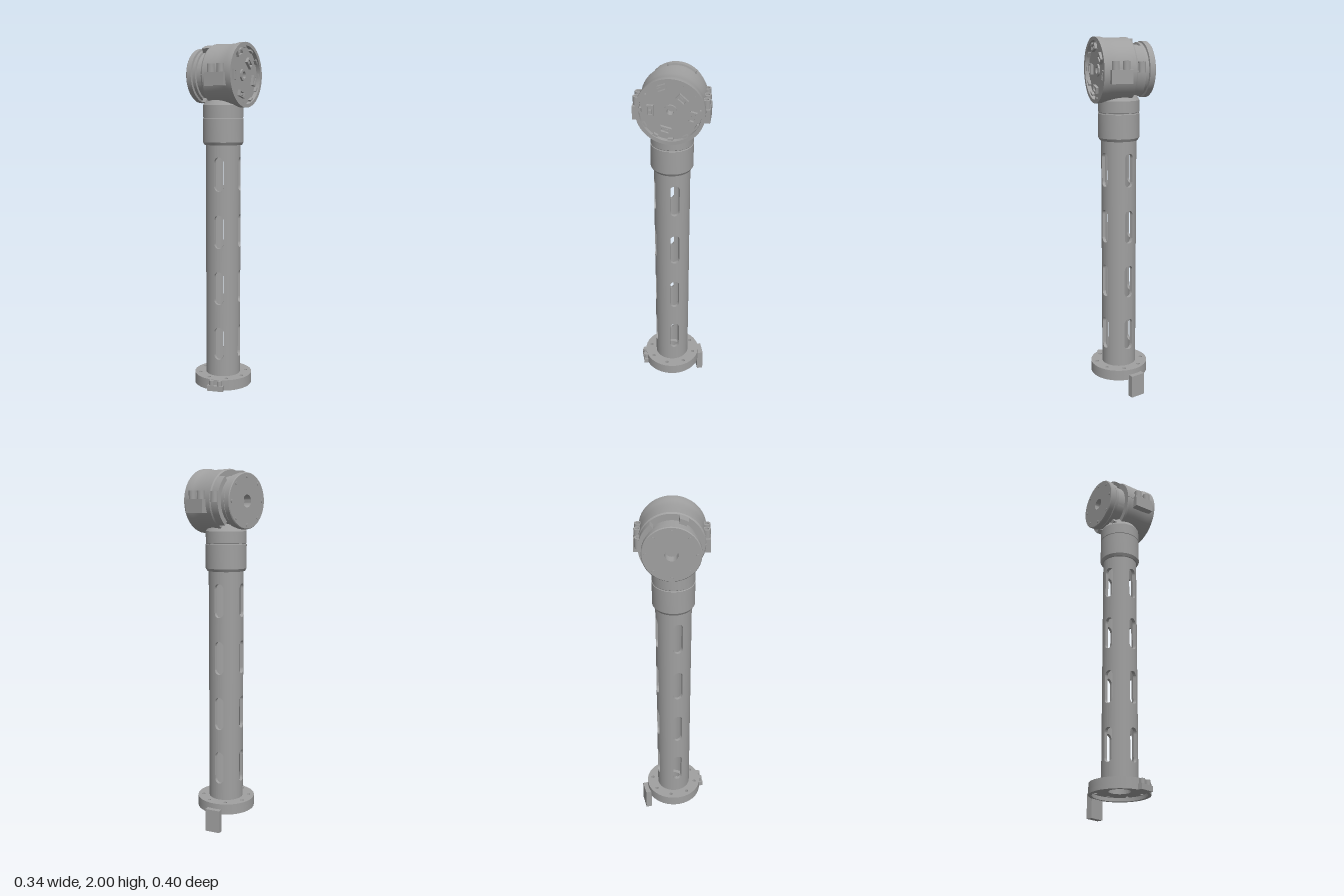
import * as THREE from 'three';
import { toCreasedNormals } from 'three/addons/utils/BufferGeometryUtils.js';

const grey = new THREE.MeshStandardMaterial({ color: 0xa0a0a0 });
grey.name = 'machinedGrey';
const DEG = Math.PI / 180;
const YAW = 8 * DEG;

function add(parent, name, geometry, x = 0, y = 0, z = 0) {
  const mesh = new THREE.Mesh(geometry, grey);
  mesh.name = name;
  mesh.position.set(x, y, z);
  parent.add(mesh);
  return mesh;
}

// turned part: [radius, height] pairs from bottom to top
function turned(profile, segments = 64) {
  const points = profile.map(([r, h]) => new THREE.Vector2(r, h));
  return toCreasedNormals(new THREE.LatheGeometry(points, segments), 0.5);
}

// curved wall from angle a0 to a1 (0 = +z, 90 degrees = +x); low and high depend on the angle
function wall(r0, r1, angles, low, high) {
  const sections = angles.map(a => {
    const at = (r, y) => [r * Math.sin(a), y, r * Math.cos(a)];
    return [at(r1, low(a)), at(r1, high(a)), at(r0, high(a)), at(r0, low(a))];
  });
  const out = [];
  const quad = (a, b, c, d) => out.push(...a, ...b, ...c, ...a, ...c, ...d);
  for (let i = 0; i + 1 < sections.length; i++) {
    const s = sections[i], t = sections[i + 1];
    for (let k = 0; k < 4; k++) quad(s[k], t[k], t[(k + 1) % 4], s[(k + 1) % 4]);
  }
  const [s, e] = [sections[0], sections[sections.length - 1]];
  quad(s[0], s[1], s[2], s[3]);
  quad(e[3], e[2], e[1], e[0]);
  const geometry = new THREE.BufferGeometry();
  geometry.setAttribute('position', new THREE.Float32BufferAttribute(out, 3));
  return toCreasedNormals(geometry, 0.5);
}

const span = (a0, a1, n) => Array.from({ length: n + 1 }, (_, i) => a0 + (a1 - a0) * i / n);

// tube with four columns of rounded slots
function buildTube(parent) {
  const R = 0.096, inner = 0.079, bottom = 0.155, top = 1.48;
  const slotR = 0.0265, straight = 0.066, half = slotR / R;
  const centres = [0.348, 0.665, 0.981, 1.297];
  const arc = a => straight + Math.sqrt(Math.max(0, slotR ** 2 - (a * R) ** 2));
  const columns = Array.from({ length: 17 }, (_, i) => -half * Math.cos(Math.PI * i / 16));
  const solid = wall(inner, R, span(half, Math.PI / 2 - half, 14), () => bottom, () => top);
  const bridges = [];
  for (let i = 0; i <= centres.length; i++) {
    const low = a => i === 0 ? bottom : centres[i - 1] + arc(a);
    const high = a => i === centres.length ? top : centres[i] - arc(a);
    bridges.push(wall(inner, R, columns, low, high));
  }
  for (let q = 0; q < 4; q++) {
    add(parent, 'tubeWall', solid).rotation.y = q * Math.PI / 2;
    for (const b of bridges) add(parent, 'slotBridge', b).rotation.y = q * Math.PI / 2;
  }
}

// round base flange with bolt holes, clamp lugs and a locating key
function buildBase(parent) {
  const plate = new THREE.Shape().absarc(0, 0, 0.161, 0, Math.PI * 2);
  const hole = (x, y, r) => plate.holes.push(new THREE.Path().absarc(x, y, r, 0, Math.PI * 2, true));
  hole(0, 0, 0.058);
  for (let i = 0; i < 8; i++) {
    const a = (i + 0.5) * Math.PI / 4;
    hole(0.13 * Math.cos(a), 0.13 * Math.sin(a), 0.01);
  }
  const geometry = new THREE.ExtrudeGeometry(plate, { depth: 0.04, bevelEnabled: false, curveSegments: 32 });
  geometry.rotateX(-Math.PI / 2);
  add(parent, 'baseFlange', toCreasedNormals(geometry, 0.5), 0, 0.12, 0);
  add(parent, 'baseRim', turned([[0.143, 0.122], [0.143, 0.1], [0.161, 0.1], [0.161, 0.122]]));

  add(parent, 'baseClamp', new THREE.BoxGeometry(0.09, 0.03, 0.03), 0, 0.115, 0.164);
  for (const x of [-0.022, 0.022]) {
    add(parent, 'baseClampLug', new THREE.CylinderGeometry(0.014, 0.014, 0.04, 20), x, 0.138, 0.164);
  }
  add(parent, 'locatingKey', new THREE.BoxGeometry(0.085, 0.13, 0.034), 0, 0.065, -0.17);
}

// joint head: turned body along local x, sleeve fingers, clamps and end fittings
function buildHead(parent) {
  const body = turned([
    [0, -0.1], [0.033, -0.1], [0.033, -0.146], [0.143, -0.146], [0.147, -0.142], [0.147, -0.114],
    [0.135, -0.112], [0.135, -0.108], [0.141, -0.106], [0.141, -0.09], [0.13, -0.088], [0.13, -0.04],
    [0.163, -0.04], [0.168, -0.03], [0.166, 0.02], [0.165, 0.06], [0.167, 0.1], [0.172, 0.118],
    [0.172, 0.146], [0.153, 0.146], [0.153, 0.122], [0.032, 0.122], [0.032, 0.132], [0.018, 0.132],
    [0.018, 0.09], [0, 0.09]], 80);
  body.rotateZ(-Math.PI / 2);
  add(parent, 'headBody', body);

  // sleeve fingers, angles measured from the top towards the front
  for (const [a0, a1] of [[-140, -40], [14, 30], [150, 166]]) {
    const n = Math.ceil((a1 - a0) / 5);
    const finger = wall(0.138, 0.164, span((a0 - 90) * DEG, (a1 - 90) * DEG, n), () => -0.084, () => -0.035);
    finger.rotateZ(-Math.PI / 2);
    add(parent, 'sleeveFinger', finger);
  }

  // bolt heads around the left face
  for (let i = 0; i < 8; i++) {
    const a = i * Math.PI / 4;
    const bolt = add(parent, 'leftFaceBolt', new THREE.CylinderGeometry(0.008, 0.008, 0.006, 12),
      -0.147, 0.125 * Math.cos(a), 0.125 * Math.sin(a));
    bolt.rotation.z = Math.PI / 2;
  }

  // split clamps at front and back
  const socket = turned([[0.02, -0.03], [0.02, 0.025], [0.011, 0.025], [0.011, 0.012], [0, 0.012]], 24);
  for (const side of [-1, 1]) {
    add(parent, 'clampBlock', new THREE.BoxGeometry(0.116, 0.07, 0.05), 0.056, -0.026, side * 0.167);
    for (const x of [0.027, 0.086]) add(parent, 'clampLug', socket, x, 0.028, side * 0.17);
    add(parent, 'splitLine', new THREE.BoxGeometry(0.18, 0.006, 0.01), 0.05, 0, side * 0.164);
  }
  add(parent, 'rearLug', socket, -0.06, 0.024, -0.162);

  // connectors on the recessed right face, as [y, z]
  for (const [y, z] of [[0.116, 0.045], [0.063, -0.056], [-0.026, -0.108], [-0.1, 0.026], [0, 0.1]]) {
    const fitting = new THREE.Group();
    fitting.name = 'faceConnector';
    fitting.position.set(0.128, y, z);
    fitting.rotation.x = Math.atan2(z, y);
    for (const s of [-1, 1]) {
      add(fitting, 'connectorSide', new THREE.BoxGeometry(0.018, 0.007, 0.056), 0, s * 0.013, 0);
      add(fitting, 'connectorEnd', new THREE.BoxGeometry(0.018, 0.032, 0.008), 0, 0, s * 0.024);
    }
    add(fitting, 'connectorCore', new THREE.BoxGeometry(0.01, 0.012, 0.022), 0, 0, 0.01);
    parent.add(fitting);
  }
  // teeth on the inside of the rim
  for (let i = 0; i < 12; i++) {
    const a = i * Math.PI / 6;
    const tooth = add(parent, 'rimTooth', new THREE.BoxGeometry(0.016, 0.012, 0.026),
      0.13, 0.149 * Math.cos(a), 0.149 * Math.sin(a));
    tooth.rotation.x = a;
  }
}

export function createModel() {
  const model = new THREE.Group();
  model.name = 'jointedColumn';

  const column = new THREE.Group();
  column.name = 'column';
  column.rotation.y = YAW;
  buildTube(column);
  buildBase(column);
  model.add(column);

  // collar below the head and the neck running up into it
  add(model, 'collar', turned([[0.078, 1.455], [0.103, 1.455], [0.112, 1.47], [0.112, 1.599], [0.109, 1.601],
    [0.109, 1.605], [0.111, 1.607], [0.111, 1.67], [0.08, 1.72], [0, 1.72]]));
  add(model, 'collarFloor', new THREE.CylinderGeometry(0.09, 0.09, 0.02, 48), 0, 1.475, 0);

  const head = new THREE.Group();
  head.name = 'head';
  head.position.set(-0.004, 1.828, -0.008);
  head.rotation.y = -YAW;
  buildHead(head);
  model.add(head);
  return model;
}
